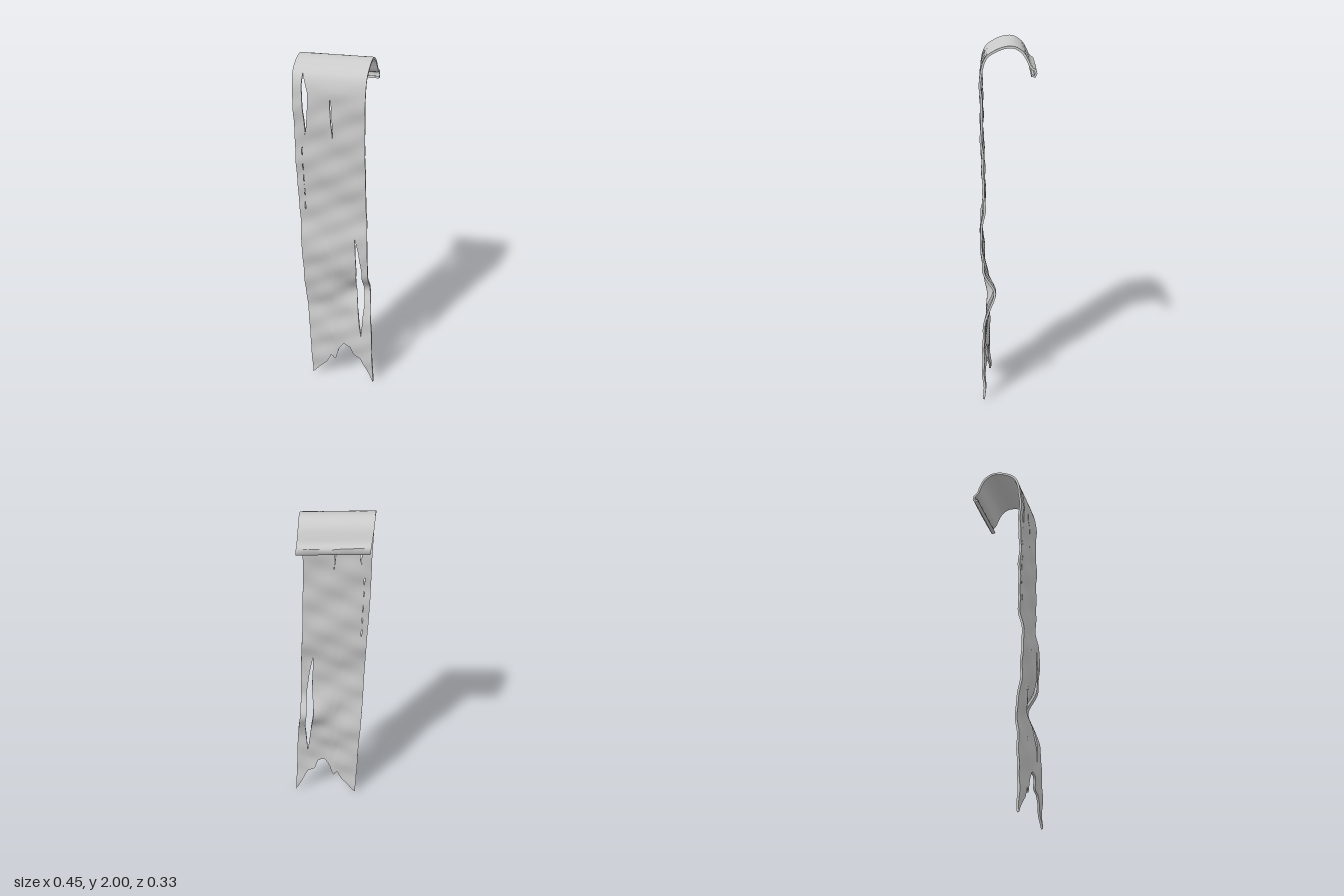
import * as THREE from 'three';
import { mergeVertices, toCreasedNormals } from 'three/addons/utils/BufferGeometryUtils.js';

const THICKNESS = 0.012, ROWS = 130;
const { lerp, smoothstep } = THREE.MathUtils;

// Straight-line interpolation in a short table of [key, value] pairs
function table(rows) {
  return (k) => {
    if (k <= rows[0][0]) return rows[0][1];
    for (let i = 1; i < rows.length; i++) {
      const [k0, v0] = rows[i - 1], [k1, v1] = rows[i];
      if (k <= k1) return lerp(v0, v1, (k - k0) / (k1 - k0));
    }
    return rows[rows.length - 1][1];
  };
}

// Side profile of the cloth (z, y): hangs down, folds back at the top, curls at the end
const profile = new THREE.CatmullRomCurve3([
  [0.12, 0], [0.122, 0.2], [0.125, 0.35], [0.115, 0.5], [0.13, 0.65], [0.141, 0.8],
  [0.148, 0.95], [0.133, 1.1], [0.131, 1.22], [0.139, 1.4], [0.141, 1.6], [0.143, 1.8],
  [0.137, 1.88], [0.112, 1.94], [0.065, 1.972], [0.015, 1.991], [-0.03, 1.992],
  [-0.075, 1.965], [-0.1, 1.925], [-0.118, 1.89], [-0.14, 1.875], [-0.138, 1.848], [-0.118, 1.852],
].map(([z, y]) => new THREE.Vector3(0, y, z)));
profile.arcLengthDivisions = 600;
const LENGTH = profile.getLength();

// Outer edges, by distance along the cloth
const leftEdge = table([[0, -0.145], [0.2, -0.155], [0.35, -0.16], [0.6, -0.175], [1, -0.187],
  [1.4, -0.205], [1.7, -0.21], [1.9, -0.217], [2.0, -0.224], [2.15, -0.22], [2.3, -0.203]]);
const rightEdge = table([[0, 0.225], [0.2, 0.215], [0.35, 0.21], [0.5, 0.2], [0.65, 0.182],
  [0.8, 0.18], [1, 0.176], [1.2, 0.165], [1.6, 0.155], [2.15, 0.154], [2.3, 0.163]]);

// Ragged swallow-tail at the bottom
const bottom = table([[-0.145, 0], [-0.09, 0.07], [-0.06, 0.1], [-0.03, 0.165], [-0.008, 0.13],
  [0.015, 0.215], [0.045, 0.265], [0.085, 0.245], [0.105, 0.185], [0.145, 0.165], [0.225, 0]]);

// Tears: centre line and half width, both by distance along the cloth
const pinholes = (s) => (s > 1.14 && s < 1.56 ? 0.003 * Math.max(0, Math.sin(s * 75)) : 0);
const leftGap = table([[1.63, 0], [1.7, 0.006], [1.78, 0.012], [1.86, 0.015], [1.91, 0.008], [1.95, 0]]);
const tears = [
  { x: table([[0, -0.1], [1.1, -0.16], [1.55, -0.172], [1.65, -0.151], [1.85, -0.153], [2, -0.175], [2.3, -0.165]]),
    gap: (s) => leftGap(s) + pinholes(s) },
  { x: table([[0, 0.03], [1, 0], [1.6, -0.01], [1.83, -0.025], [2.3, -0.03]]),
    gap: table([[1.59, 0], [1.66, 0.002], [1.78, 0.004], [1.84, 0]]) },
  { x: table([[0, 0.145], [0.35, 0.146], [0.55, 0.139], [0.65, 0.126], [0.8, 0.131], [0.92, 0.12], [1.01, 0.11], [2.3, 0.09]]),
    gap: table([[0.33, 0], [0.4, 0.007], [0.55, 0.019], [0.65, 0.02], [0.8, 0.014], [0.93, 0.008], [1.02, 0]]) },
];

// Panels between the tears, each with its own columns
const noTear = () => 0;
const lines = [{ x: leftEdge, gap: noTear }, ...tears, { x: rightEdge, gap: noTear }];
const columns = [5, 14, 14, 8];

// Wavy sheet position at sideways x and distance s
function sheetPoint(x, s) {
  const p = profile.getPointAt(Math.min(1, Math.max(0, s / LENGTH)));
  const hang = 1 - smoothstep(s, 1.75, 1.95);
  const tilt = 0.085 * smoothstep(s, 0.3, 0.9);
  const fold = -0.058 * Math.exp(-(((s - 0.64) / 0.09) ** 2)) * smoothstep(x, -0.08, 0.17);
  const ripple = 0.003 * hang * (Math.sin(s * 24 + x * 16) + 0.8 * Math.sin(s * 41 - x * 22));
  return [x, p.y, p.z - tilt * x + fold + ripple];
}

// Middle surface of the cloth, welded wherever the tears are closed
function buildSheet() {
  const positions = [], index = [];
  columns.forEach((count, k) => {
    const base = positions.length / 3;
    const xAt = (u, s) => lerp(lines[k].x(s) + lines[k].gap(s), lines[k + 1].x(s) - lines[k + 1].gap(s), u);
    for (let c = 0; c <= count; c++) {
      const u = c / count;
      const start = bottom(xAt(u, bottom(xAt(u, 0))));
      for (let r = 0; r <= ROWS; r++) {
        const s = lerp(start, LENGTH, r / ROWS);
        positions.push(...sheetPoint(xAt(u, s), s));
      }
    }
    for (let c = 0; c < count; c++) {
      for (let r = 0; r < ROWS; r++) {
        const a = base + c * (ROWS + 1) + r, b = a + ROWS + 1;
        index.push(a, b, b + 1, a, b + 1, a + 1);
      }
    }
  });
  const sheet = new THREE.BufferGeometry();
  sheet.setAttribute('position', new THREE.Float32BufferAttribute(positions, 3));
  sheet.setIndex(index);
  const welded = mergeVertices(sheet, 1e-4);
  welded.computeVertexNormals();
  return welded;
}

// Gives the sheet a front, a back and a rim along every open edge
function thicken(sheet) {
  const pos = sheet.attributes.position, nor = sheet.attributes.normal;
  const n = pos.count, tri = sheet.index.array;
  const points = [], index = [], edges = new Set();
  for (const side of [0.5, -0.5]) {
    for (let i = 0; i < n; i++) {
      const d = side * THICKNESS;
      points.push(pos.getX(i) + nor.getX(i) * d, pos.getY(i) + nor.getY(i) * d, pos.getZ(i) + nor.getZ(i) * d);
    }
  }
  for (let i = 0; i < tri.length; i += 3) {
    const [a, b, c] = [tri[i], tri[i + 1], tri[i + 2]];
    index.push(a, b, c, n + a, n + c, n + b);
    for (const [p, q] of [[a, b], [b, c], [c, a]]) edges.add(p * n + q);
  }
  for (const key of edges) {
    const a = Math.floor(key / n), b = key % n;
    if (!edges.has(b * n + a)) index.push(b, a, n + a, b, n + a, n + b);
  }
  const solid = new THREE.BufferGeometry();
  solid.setAttribute('position', new THREE.Float32BufferAttribute(points, 3));
  solid.setIndex(index);
  return toCreasedNormals(solid, 0.8);
}

export function createModel() {
  const group = new THREE.Group();
  group.name = 'tornBanner';
  const material = new THREE.MeshStandardMaterial({ color: 0xcccccc, side: THREE.DoubleSide });
  const cloth = new THREE.Mesh(thicken(buildSheet()), material);
  cloth.name = 'bannerCloth';
  group.add(cloth);
  return group;
}
